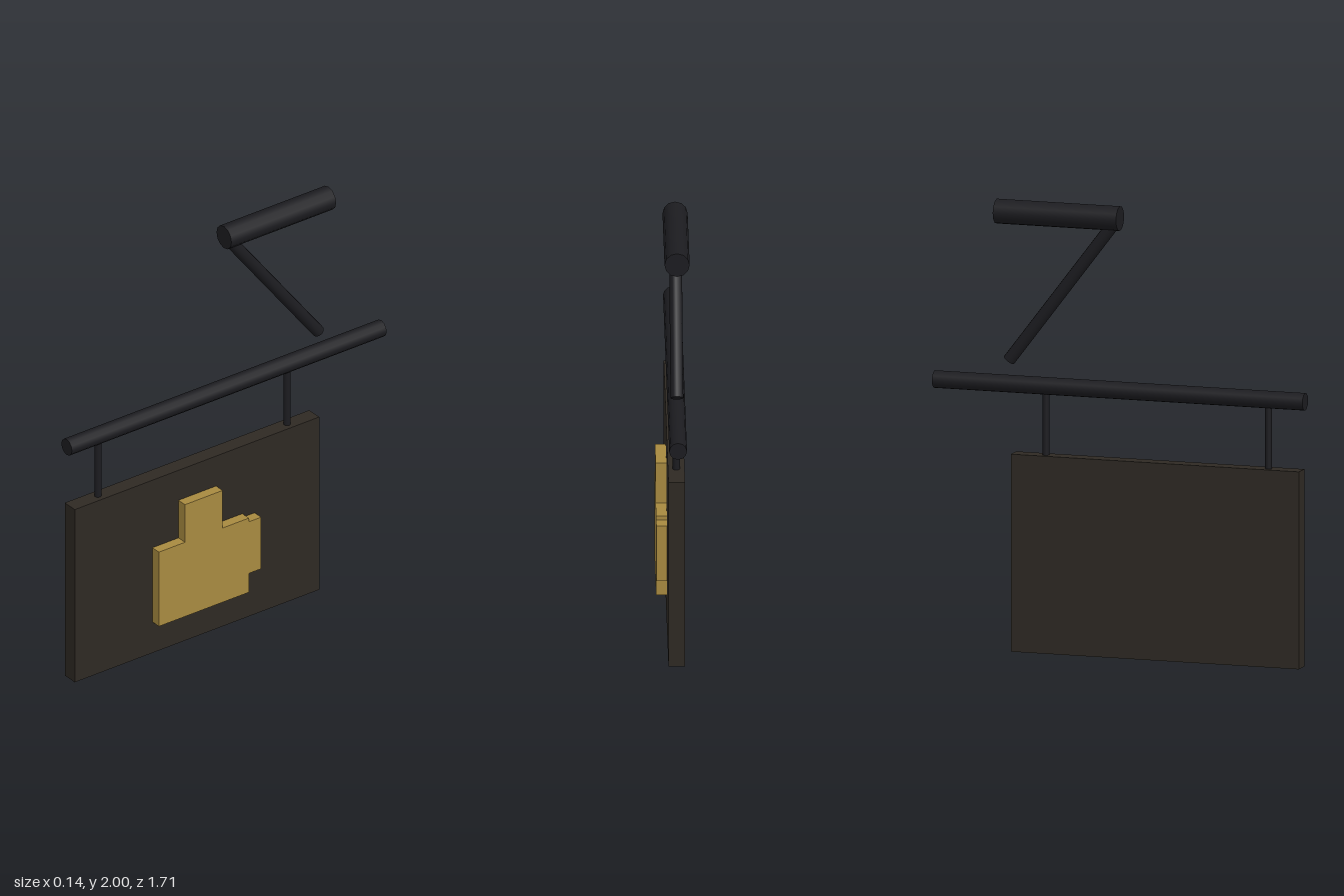
import * as THREE from 'three';

const metal = new THREE.MeshStandardMaterial({ color: 0x1c1c20 });
const wood = new THREE.MeshStandardMaterial({ color: 0x2e2923 });
const gold = new THREE.MeshStandardMaterial({ color: 0xa88a40 });

const PLANE_X = -0.017; // all parts hang in one vertical plane

// Rod between two [y, z] points in the hanging plane
function rod(name, from, to, radius) {
  const a = new THREE.Vector3(PLANE_X, ...from);
  const b = new THREE.Vector3(PLANE_X, ...to);
  const mesh = new THREE.Mesh(new THREE.CylinderGeometry(radius, radius, a.distanceTo(b), 12), metal);
  mesh.name = name;
  mesh.position.copy(a).add(b).multiplyScalar(0.5);
  mesh.quaternion.setFromUnitVectors(new THREE.Vector3(0, 1, 0), b.sub(a).normalize());
  return mesh;
}

export function createModel() {
  const sign = new THREE.Group();
  sign.name = 'hangingSign';

  // Wall mount, diagonal brace and main bar
  sign.add(
    rod('mountBar', [1.946, -0.57], [1.946, 0], 0.055),
    rod('diagonalBrace', [1.288, -0.513], [1.92, -0.03], 0.028),
    rod('mainBar', [1.183, -0.857], [1.183, 0.857], 0.039)
  );

  // Hangers
  for (const z of [0.687, -0.343]) sign.add(rod('hanger', [0.86, z], [1.183, z], 0.0155));

  // Board
  const board = new THREE.Mesh(new THREE.BoxGeometry(0.073, 0.877, 1.332), wood);
  board.name = 'board';
  board.position.set(PLANE_X, 0.4385, 0.174);
  sign.add(board);

  // Raised bottle emblem: outline in (-z, y), extruded towards +x
  const outline = [
    [-0.417, 0.157], [0.073, 0.157], [0.073, 0.253], [0.14, 0.253], [0.14, 0.515], [0.073, 0.515],
    [0.073, 0.534], [-0.07, 0.534], [-0.07, 0.725], [-0.275, 0.725], [-0.275, 0.534], [-0.417, 0.534]
  ];
  const shape = new THREE.Shape(outline.map(([u, y]) => new THREE.Vector2(u, y)));
  const emblem = new THREE.Mesh(new THREE.ExtrudeGeometry(shape, { depth: 0.051, bevelEnabled: false }), gold);
  emblem.name = 'bottleEmblem';
  emblem.rotation.y = Math.PI / 2;
  emblem.position.x = 0.016;
  sign.add(emblem);

  return sign;
}
